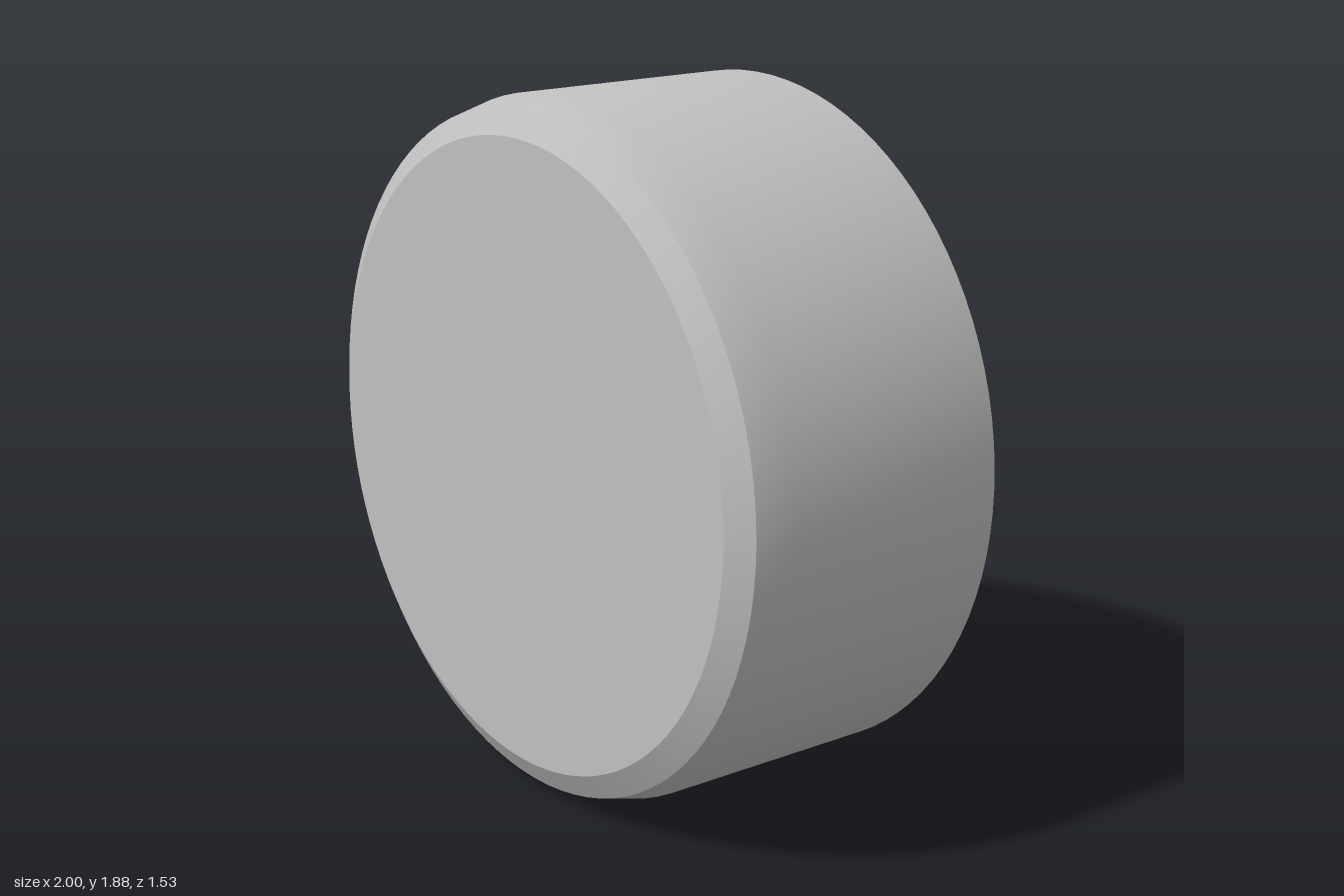
import * as THREE from 'three';
import { toCreasedNormals } from 'three/addons/utils/BufferGeometryUtils.js';

const SEGMENTS = 96;

// Solid of revolution along z from [radius, z] points, back to front.
function turned(name, profile, material) {
  const points = profile.map(([r, z]) => new THREE.Vector2(r, z));
  const lathe = new THREE.LatheGeometry(points, SEGMENTS).rotateX(Math.PI / 2);
  const mesh = new THREE.Mesh(toCreasedNormals(lathe, 0.35), material);
  mesh.name = name;
  return mesh;
}

export function createModel() {
  const grey = new THREE.MeshStandardMaterial({ color: 0xc0c0c0 });
  grey.name = 'light grey';

  const model = new THREE.Group();
  model.name = 'knob';

  // Thick disc with a chamfered back and a stepped, chamfered front
  const body = turned('knobBody', [
    [0, -0.413], [0.887, -0.413], [0.941, -0.368],
    [0.941, 0.29], [0.915, 0.388], [0.845, 0.43], [0, 0.43],
  ], grey);

  // Short round stub on the back
  const stub = turned('rearStub', [
    [0, -0.647], [0.328, -0.647], [0.328, -0.4],
  ], grey);

  // Turn the front towards the model's right
  const knob = new THREE.Group();
  knob.name = 'turnedKnob';
  knob.add(body, stub);
  knob.rotation.y = -Math.atan(0.5);
  knob.position.set(-0.007, 0.941, 0);
  model.add(knob);
  return model;
}
